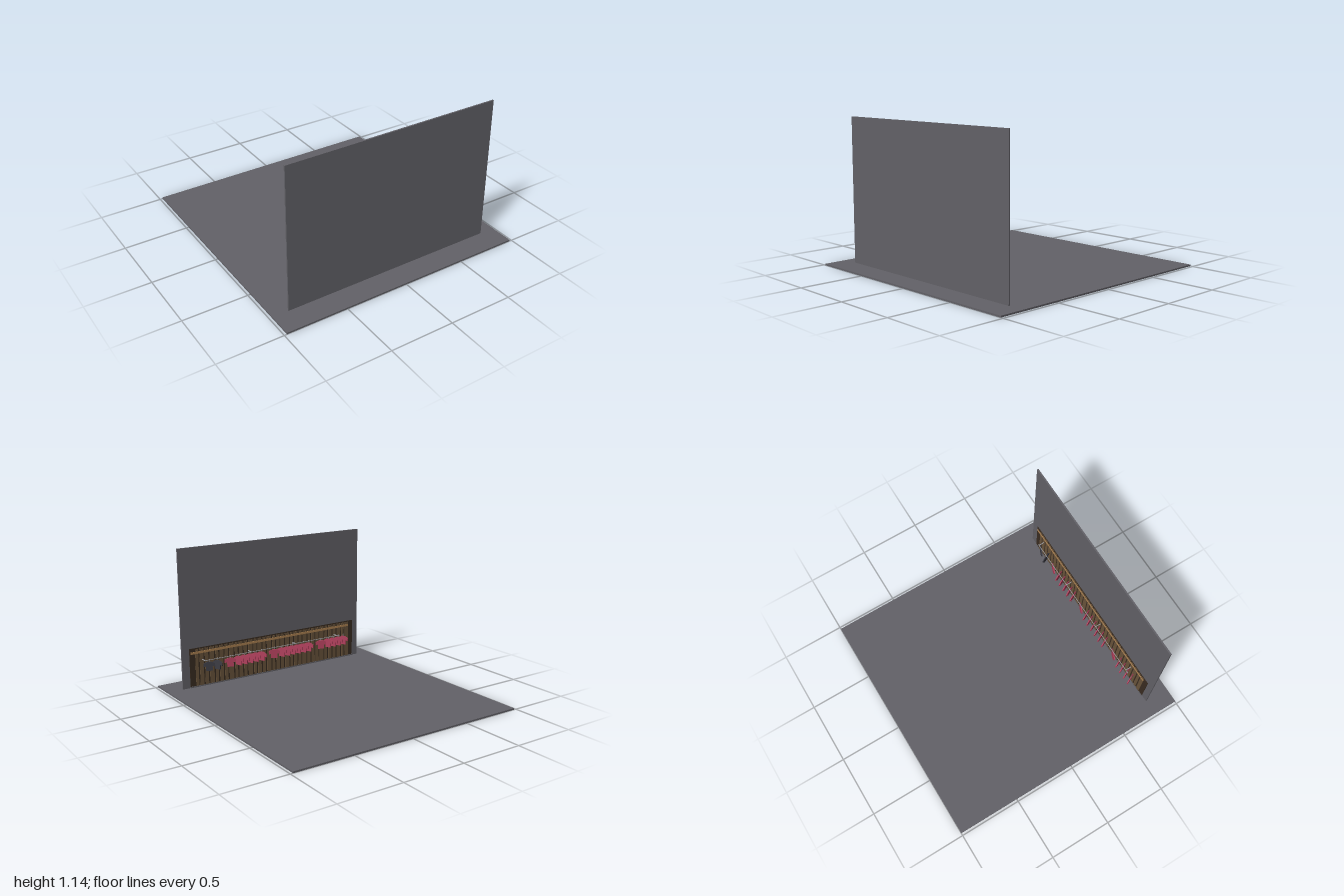
import * as THREE from 'three';

function material(name, color, side = THREE.FrontSide) {
  const m = new THREE.MeshStandardMaterial({ color, side });
  m.name = name;
  return m;
}

export function createModel() {
  const model = new THREE.Group();
  const grey = material('slate grey', 0x636268);
  const plank = material('plank brown', 0x6a543b);
  const groove = material('dark groove brown', 0x392c21);
  const trim = material('light wood', 0xab8150);
  const metal = material('rail metal', 0x9a9a9e);
  const crimson = material('crimson cloth', 0xb0405c, THREE.DoubleSide);
  const charcoal = material('charcoal cloth', 0x3c3c44, THREE.DoubleSide);

  // Box given by its minimum and maximum corners
  function box(name, mat, [x0, y0, z0], [x1, y1, z1], parent = model) {
    const mesh = new THREE.Mesh(new THREE.BoxGeometry(x1 - x0, y1 - y0, z1 - z0), mat);
    mesh.position.set((x0 + x1) / 2, (y0 + y1) / 2, (z0 + z1) / 2);
    mesh.name = name;
    parent.add(mesh);
    return mesh;
  }

  // Floor slab and display wall
  box('floor', grey, [-0.98, 0, -1], [0.98, 0.012, 1]);
  box('wall', grey, [-0.855, 0.012, 0.8], [0.855, 1.14, 0.812]);

  // Wooden panel on the inner face: dark backing, planks of uneven width, trims
  const panel = new THREE.Group();
  panel.name = 'woodPanel';
  model.add(panel);
  box('panelBacking', groove, [-0.8, 0.02, 0.796], [0.79, 0.335, 0.8], panel);
  const widths = [0.034, 0.026, 0.04, 0.03];
  let x = -0.755;
  for (let i = 0; x < 0.75; i++) {
    const w = widths[i % widths.length];
    box('plank', plank, [x, 0.022, 0.793], [Math.min(x + w, 0.78), 0.325, 0.797], panel);
    x += w + 0.012;
  }
  box('topTrim', trim, [-0.755, 0.288, 0.79], [0.782, 0.306, 0.795], panel);
  box('baseTrim', grey, [-0.8, 0.012, 0.792], [0.79, 0.022, 0.8], panel);

  // Clothes rail with wall brackets
  const railY = 0.234, railZ = 0.745;
  const rail = new THREE.Mesh(new THREE.CylinderGeometry(0.003, 0.003, 1.32, 8), metal);
  rail.rotation.z = Math.PI / 2;
  rail.position.set(0.03, railY, railZ);
  rail.name = 'rail';
  model.add(rail);
  for (const bx of [-0.6, -0.17, 0.26, 0.68]) {
    box('railBracket', metal, [bx - 0.003, railY - 0.003, railZ], [bx + 0.003, railY + 0.003, 0.797]);
  }

  // T-shirt outline, mirrored from its right half
  const half = [[0.011, 0.22], [0.022, 0.217], [0.046, 0.204], [0.046, 0.178], [0.026, 0.183], [0.026, 0.145]];
  const outline = [...half, ...half.map(([px, py]) => [-px, py]).reverse()];
  const shirtGeometry = new THREE.ExtrudeGeometry(
    new THREE.Shape(outline.map(([px, py]) => new THREE.Vector2(px, py))),
    { depth: 0.008, bevelEnabled: false });
  shirtGeometry.translate(0, 0, -0.004);
  const hookGeometry = new THREE.TorusGeometry(0.006, 0.0012, 5, 10, Math.PI * 1.3);
  const stemGeometry = new THREE.CylinderGeometry(0.0012, 0.0012, 0.018, 5);

  function hangShirt(px, turn, mat) {
    const shirt = new THREE.Group();
    shirt.name = 'hangingShirt';
    const cloth = new THREE.Mesh(shirtGeometry, mat);
    cloth.name = 'shirt';
    const hook = new THREE.Mesh(hookGeometry, metal);
    hook.position.y = railY;
    hook.name = 'hangerHook';
    const stem = new THREE.Mesh(stemGeometry, metal);
    stem.position.y = 0.22;
    stem.name = 'hangerStem';
    shirt.add(cloth, hook, stem);
    shirt.position.set(px, 0, railZ);
    shirt.rotation.y = turn;
    model.add(shirt);
  }

  // Three crimson groups, each ending in a shirt turned to show its face
  const steep = -1.13, open = -0.38;
  const groups = [[-0.67, 4, -0.43], [-0.305, 6, 0.04], [0.16, 5, 0.455]];
  for (const [start, count, last] of groups) {
    for (let i = 0; i < count; i++) hangShirt(start + i * 0.054, steep, crimson);
    hangShirt(last, open, crimson);
  }
  // Charcoal pair at the end of the rail
  hangShirt(0.57, steep, charcoal);
  hangShirt(0.645, open, charcoal);

  return model;
}
